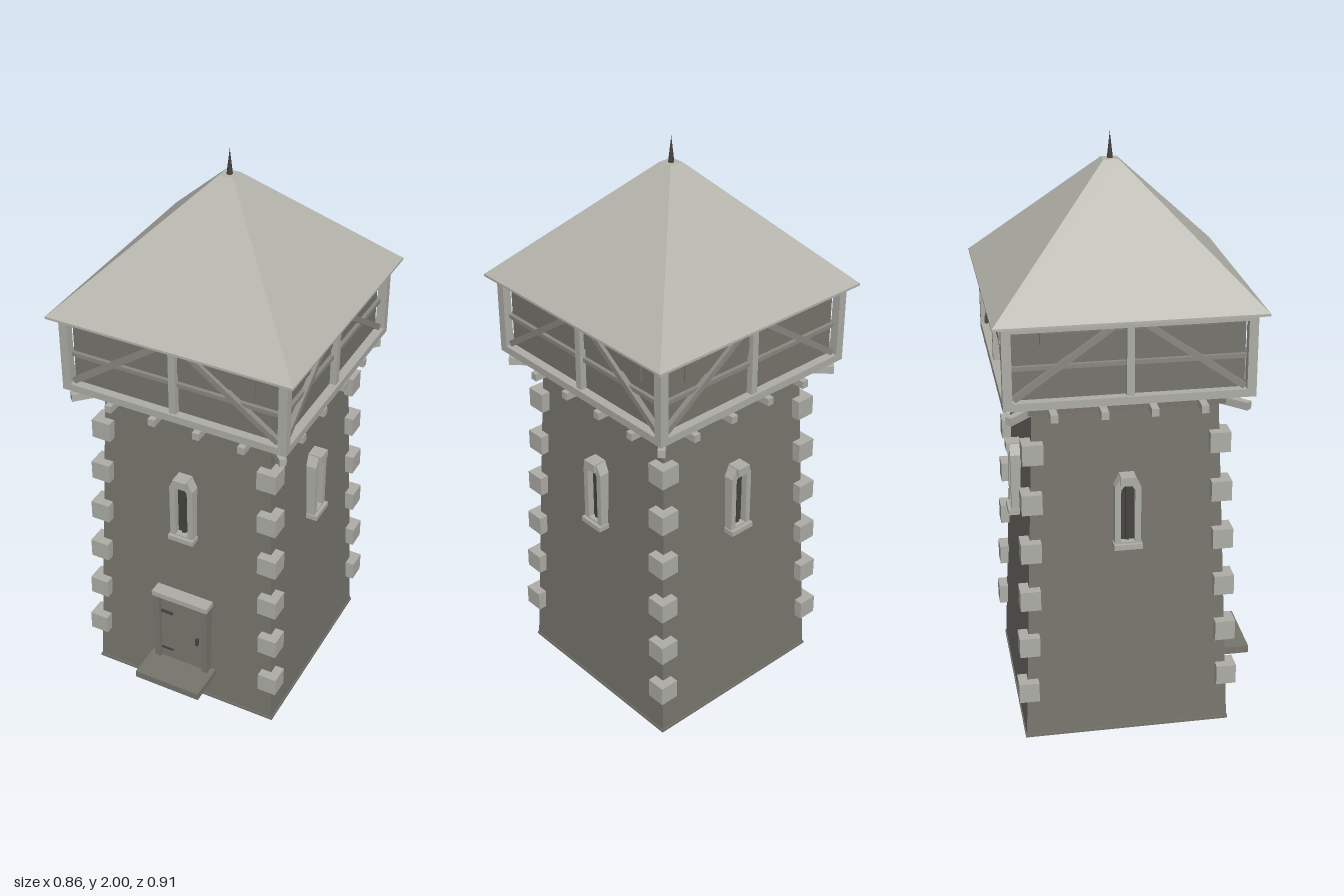
import * as THREE from 'three';

const mat = (name, color) => Object.assign(new THREE.MeshStandardMaterial({ color }), { name });

export function createModel() {
  const wall = mat('grey masonry', 0x77756d);
  const trim = mat('pale stone', 0xaeada7);
  const roofing = mat('pale roofing', 0xb5b4ac);
  const timber = mat('weathered timber', 0x8a8881);
  const dark = mat('dark opening', 0x45443f);

  const model = new THREE.Group();
  model.name = 'watchtower';
  const tower = new THREE.Group();
  tower.name = 'tower';
  tower.position.z = -0.027;
  model.add(tower);

  const add = (parent, name, geo, material, x = 0, y = 0, z = 0) => {
    const m = new THREE.Mesh(geo, material);
    m.name = name;
    m.position.set(x, y, z);
    parent.add(m);
    return m;
  };
  const box = (parent, name, material, w, h, d, x, y, z) =>
    add(parent, name, new THREE.BoxGeometry(w, h, d), material, x, y, z);
  // square frustum with crisp faces
  const frustum = (top, bottom, height) => {
    const g = new THREE.CylinderGeometry(top * Math.SQRT2, bottom * Math.SQRT2, height, 4)
      .rotateY(Math.PI / 4).toNonIndexed();
    g.computeVertexNormals();
    return g;
  };
  const H = 1.2;
  const half = (y) => 0.35 - 0.048 * (y / H);
  const lean = Math.atan(0.048 / H);

  // tapered shaft and low plinth
  add(tower, 'shaft', frustum(half(H), half(0), H), wall, 0, H / 2, 0);
  box(tower, 'plinth', wall, 0.706, 0.01, 0.706, 0, 0.005, 0);

  // corner stones
  for (const y of [0.19, 0.362, 0.534, 0.706, 0.878, 1.05]) {
    const c = half(y) * 0.99;
    for (const sx of [-1, 1]) for (const sz of [-1, 1])
      box(tower, 'cornerStone', trim, 0.068, 0.07, 0.068, sx * c, y, sz * c);
  }

  // gallery floor and core
  box(tower, 'wallCap', wall, 0.67, 0.045, 0.67, 0, 1.208, 0);
  box(tower, 'galleryFloor', wall, 0.78, 0.012, 0.78, 0, 1.236, 0);
  box(tower, 'galleryWall', wall, 0.736, 0.265, 0.736, 0, 1.3725, 0);

  // pointed window surround
  const surround = new THREE.Shape([[-0.043, 0.71], [0.043, 0.71], [0.043, 0.92], [0.025, 0.955],
    [-0.025, 0.955], [-0.043, 0.92]].map((p) => new THREE.Vector2(...p)));
  surround.holes.push(new THREE.Path([[-0.023, 0.722], [-0.023, 0.91], [-0.01, 0.928],
    [0.01, 0.928], [0.023, 0.91], [0.023, 0.722]].map((p) => new THREE.Vector2(...p))));
  const surroundGeo = new THREE.ExtrudeGeometry(surround, { depth: 0.045, bevelEnabled: false });

  // everything repeated on the four sides
  for (let i = 0; i < 4; i++) {
    const side = new THREE.Group();
    side.name = 'side' + (i + 1);
    side.rotation.y = (i * Math.PI) / 2;
    tower.add(side);

    add(side, 'windowSurround', surroundGeo, trim, 0, 0, 0.305);
    box(side, 'windowOpening', dark, 0.05, 0.21, 0.008, 0, 0.825, 0.323);
    box(side, 'windowBar', dark, 0.012, 0.2, 0.01, 0, 0.825, 0.332);
    box(side, 'windowSill', trim, 0.094, 0.018, 0.055, 0, 0.708, 0.334);
    box(side, 'windowHead', trim, 0.05, 0.03, 0.052, 0, 0.944, 0.335);

    for (const x of [-0.24, -0.08, 0.08, 0.24])
      box(side, 'joist', trim, 0.024, 0.026, 0.09, x, 1.192, 0.345);
    const diagonal = box(side, 'cornerJoist', trim, 0.024, 0.026, 0.15, 0.33, 1.192, 0.33);
    diagonal.rotation.y = Math.PI / 4;

    // timber framing of the gallery
    box(side, 'bottomBeam', trim, 0.8, 0.026, 0.03, 0, 1.243, 0.385);
    box(side, 'topBeam', trim, 0.8, 0.022, 0.03, 0, 1.494, 0.385);
    box(side, 'cornerPost', trim, 0.03, 0.27, 0.03, 0.385, 1.37, 0.385);
    box(side, 'middlePost', trim, 0.024, 0.235, 0.022, 0, 1.37, 0.381);
    box(side, 'rail', timber, 0.74, 0.014, 0.014, 0, 1.362, 0.374);
    for (const s of [-1, 1]) {
      const dx = 0.31, dy = 0.22;
      const brace = box(side, 'brace', timber, Math.hypot(dx, dy), 0.02, 0.018, s * 0.21, 1.372, 0.379);
      brace.rotation.z = -s * Math.atan2(dy, dx);
    }
    box(side, 'shutter', wall, 0.56, 0.07, 0.008, 0, 1.435, 0.371);
  }

  // door
  const door = new THREE.Group();
  door.name = 'door';
  tower.add(door);
  const z = 0.343;
  const leaf = box(door, 'doorLeaf', wall, 0.17, 0.3, 0.03, 0, 0.285, z);
  leaf.rotation.x = -lean;
  for (const s of [-1, 1]) box(door, 'doorJamb', wall, 0.022, 0.3, 0.06, s * 0.094, 0.285, 0.346);
  box(door, 'doorLintel', trim, 0.216, 0.02, 0.065, 0, 0.44, 0.347);
  for (const y of [0.18, 0.355]) box(door, 'hinge', dark, 0.045, 0.008, 0.008, -0.06, y, 0.3615);
  box(door, 'handle', dark, 0.01, 0.03, 0.01, 0.06, 0.262, 0.362);
  box(door, 'doorStep', wall, 0.25, 0.027, 0.15, 0, 0.126, 0.407);
  for (const s of [-1, 1]) box(door, 'stepBracket', wall, 0.02, 0.02, 0.05, s * 0.095, 0.105, 0.355);

  // roof and spike
  box(tower, 'eaves', roofing, 0.858, 0.008, 0.858, 0, 1.508, 0);
  add(tower, 'roof', frustum(0.025, 0.429, 0.403), roofing, 0, 1.7125, 0);
  add(tower, 'spikeBase', new THREE.CylinderGeometry(0.007, 0.01, 0.025, 6), dark, 0, 1.925, 0);
  add(tower, 'spike', new THREE.ConeGeometry(0.008, 0.07, 6), dark, 0, 1.965, 0);

  return model;
}
